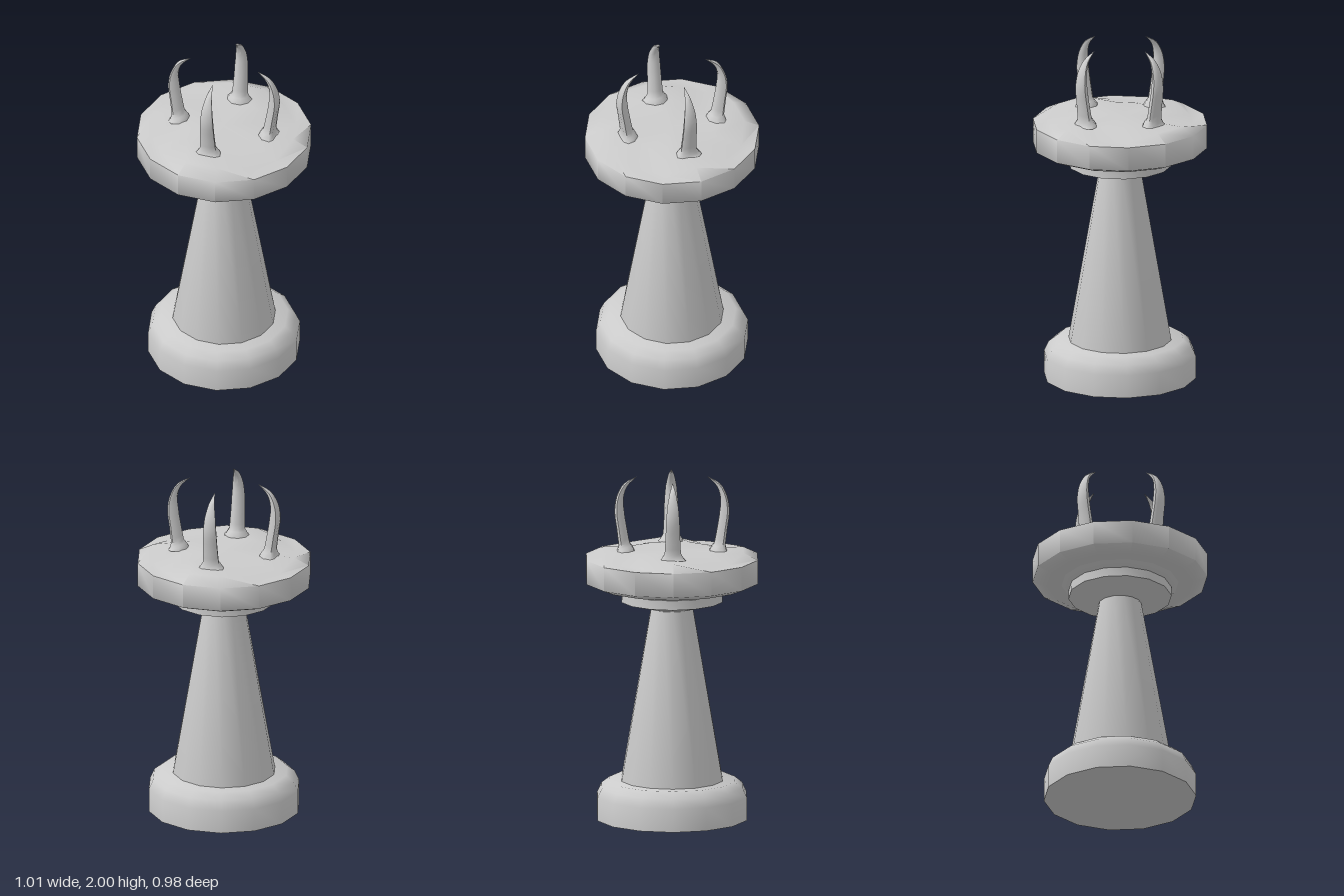
import * as THREE from 'three';
import { toCreasedNormals } from 'three/addons/utils/BufferGeometryUtils.js';

const SIDES = 14;
const grey = new THREE.MeshStandardMaterial({ color: 0xcccccc, side: THREE.DoubleSide });

// Turned part from [radius, height] pairs listed bottom to top, with a corner on +x.
function turned(profile) {
  return new THREE.LatheGeometry(profile.map(([r, y]) => new THREE.Vector2(r, y)), SIDES, Math.PI / 2);
}

function part(name, geometry, crease = 1.2) {
  const mesh = new THREE.Mesh(toCreasedNormals(geometry, crease), grey);
  mesh.name = name;
  return mesh;
}

// Round platform whose upper rim dips at the four diagonals.
function platformGeometry() {
  const g = turned([[0, 1.36], [0.43, 1.36], [0.505, 1.39], [0.505, 1.53], [0.42, 1.57], [0.25, 1.57], [0, 1.57]]);
  const p = g.attributes.position;
  for (let i = 0; i < p.count; i++) {
    const x = Math.abs(p.getX(i)), z = Math.abs(p.getZ(i));
    const r = Math.hypot(x, z), angle = THREE.MathUtils.radToDeg(Math.atan2(z, x));
    if (p.getY(i) > 1.56 && r > 0.4 && angle > 15 && angle < 60) p.setY(i, 1.533);
  }
  return g;
}

// Curved claw leaning inwards: flat outer face, narrow inner edge, flared foot.
function clawGeometry() {
  const path = new THREE.CatmullRomCurve3([
    [0.265, 1.565], [0.274, 1.61], [0.288, 1.7], [0.302, 1.8], [0.298, 1.88], [0.268, 1.95], [0.205, 2.0],
  ].map(([x, y]) => new THREE.Vector3(x, y, 0)));
  // [half depth, half width] along the path
  const sizes = [[0.056, 0.077], [0.034, 0.047], [0.031, 0.042], [0.03, 0.039], [0.021, 0.032], [0.013, 0.018], [0.001, 0.001]];
  const outline = [[1, 0], [0.95, 0.72], [0.55, 1], [-0.3, 0.85], [-0.9, 0.35],
    [-0.9, -0.35], [-0.3, -0.85], [0.55, -1], [0.95, -0.72]];
  const n = outline.length, rings = 18, positions = [], indices = [];
  for (let i = 0; i <= rings; i++) {
    const t = i / rings, k = t * (sizes.length - 1);
    const a = Math.min(Math.floor(k), sizes.length - 2), f = k - a;
    const depth = THREE.MathUtils.lerp(sizes[a][0], sizes[a + 1][0], f);
    const width = THREE.MathUtils.lerp(sizes[a][1], sizes[a + 1][1], f);
    const c = path.getPoint(t), d = path.getTangent(t);
    if (i === 0) d.set(0, 1, 0);
    for (const [u, v] of outline) positions.push(c.x + d.y * u * depth, c.y - d.x * u * depth, v * width);
  }
  for (let i = 0; i < rings; i++) {
    for (let j = 0; j < n; j++) {
      const a = i * n + j, b = i * n + (j + 1) % n;
      indices.push(a, a + n, b, b, a + n, b + n);
    }
  }
  const g = new THREE.BufferGeometry();
  g.setAttribute('position', new THREE.Float32BufferAttribute(positions, 3));
  g.setIndex(indices);
  return g;
}

export function createModel() {
  const model = new THREE.Group();
  model.name = 'clawPedestal';

  // Foot and tapering column
  model.add(part('base', turned([[0, 0], [0.44, 0], [0.44, 0.135], [0.415, 0.19], [0.37, 0.225], [0, 0.225]])));
  model.add(part('column', turned([[0.298, 0.2], [0.298, 0.225], [0.122, 1.24]])));

  // Collar under the platform, then the shallow step above it
  model.add(part('collar', turned([[0.1, 1.225], [0.125, 1.23], [0.298, 1.275], [0.296, 1.33], [0, 1.33]])));
  model.add(part('collarStep', turned([[0.25, 1.325], [0.3, 1.335], [0.345, 1.365]])));

  model.add(part('platform', platformGeometry()));

  // Four claws around the top
  const claw = clawGeometry();
  for (let i = 0; i < 4; i++) {
    const mesh = part('claw', claw, 0.9);
    mesh.rotation.y = i * Math.PI / 2;
    model.add(mesh);
  }
  return model;
}
